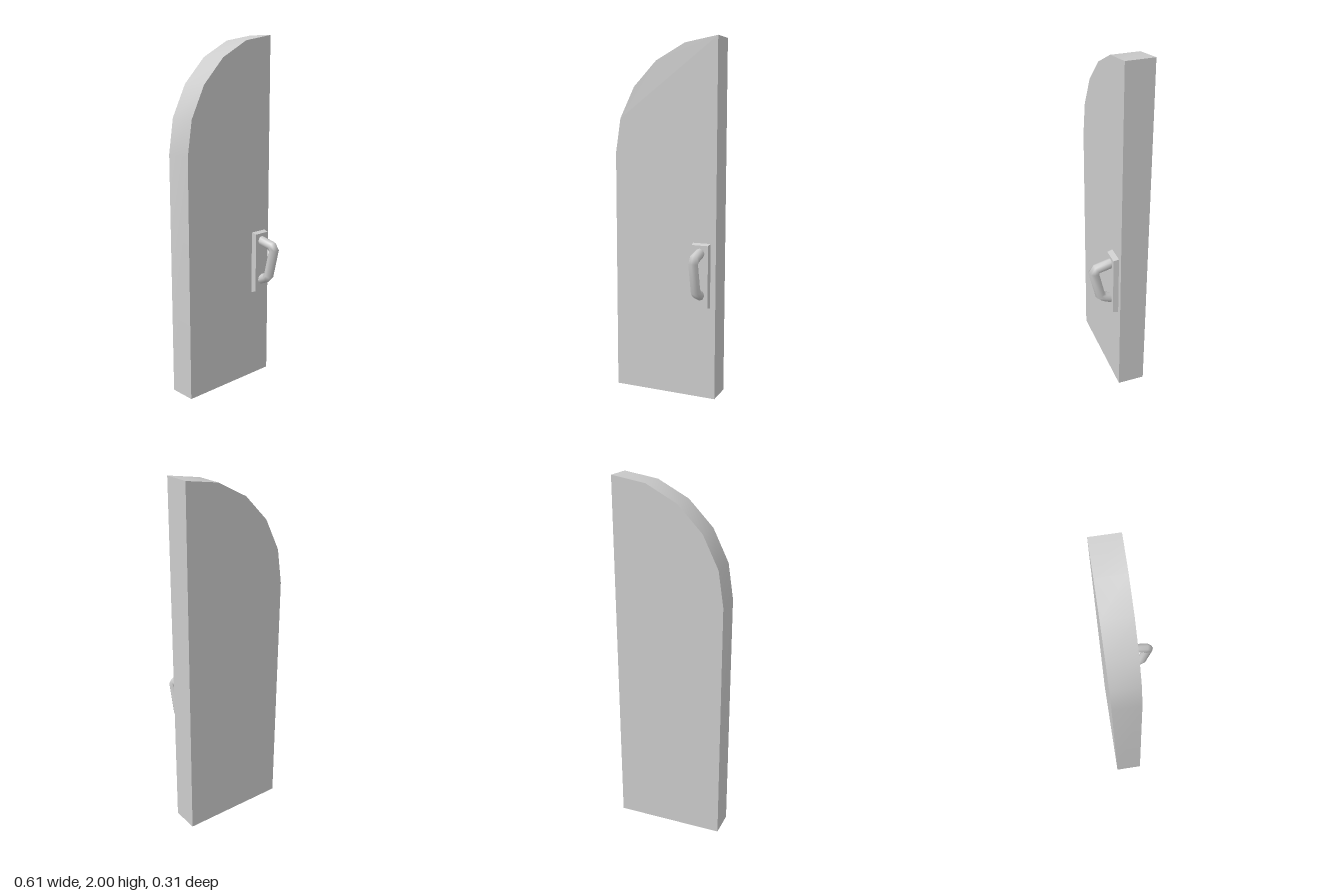
import * as THREE from 'three';
import { toCreasedNormals } from 'three/addons/utils/BufferGeometryUtils.js';

const material = new THREE.MeshStandardMaterial({ color: 0xcccccc });

function addMesh(group, name, geometry) {
  const mesh = new THREE.Mesh(geometry, material);
  mesh.name = name;
  group.add(mesh);
  return mesh;
}

// Slab with a quarter-ellipse top corner made of five straight steps
function doorGeometry(halfWidth, height, depth, springY, steps) {
  const shape = new THREE.Shape();
  shape.moveTo(-halfWidth, 0);
  shape.lineTo(halfWidth, 0);
  for (let i = steps; i >= 0; i--) {
    const a = (i / steps) * Math.PI / 2;
    shape.lineTo(halfWidth - 2 * halfWidth * Math.cos(a), springY + (height - springY) * Math.sin(a));
  }
  const geometry = new THREE.ExtrudeGeometry(shape, { depth, bevelEnabled: false });
  geometry.translate(0, 0, -depth);
  return toCreasedNormals(geometry, 0.6);
}

// Box whose front face is inset on all four sides
function plateGeometry(width, height, depth, inset) {
  const geometry = new THREE.BoxGeometry(width, height, depth);
  const p = geometry.attributes.position;
  for (let i = 0; i < p.count; i++) {
    if (p.getZ(i) > 0) {
      p.setX(i, p.getX(i) - Math.sign(p.getX(i)) * inset);
      p.setY(i, p.getY(i) - Math.sign(p.getY(i)) * inset * 2);
    }
  }
  geometry.computeVertexNormals();
  return geometry;
}

// Round bar swept through [z, y] points, with mitred rings at the bends
function gripGeometry(path, radius, sides) {
  const points = path.map(([z, y]) => new THREE.Vector2(z, y));
  const direction = i => points[i + 1].clone().sub(points[i]).normalize();
  const last = points.length - 1;
  const positions = [], indices = [];
  points.forEach((point, i) => {
    const before = direction(Math.max(i - 1, 0));
    const after = direction(Math.min(i, last - 1));
    const t = before.clone().add(after).normalize();
    const mitre = radius / t.dot(after);
    for (let j = 0; j < sides; j++) {
      const a = (j / sides) * Math.PI * 2;
      const n = Math.sin(a) * mitre;
      positions.push(Math.cos(a) * radius, point.y + t.x * n, point.x - t.y * n);
      if (i < last) {
        const k = i * sides, a0 = k + j, a1 = k + (j + 1) % sides;
        indices.push(a0, a1, a0 + sides, a1, a1 + sides, a0 + sides);
      }
    }
  });
  const geometry = new THREE.BufferGeometry();
  geometry.setAttribute('position', new THREE.Float32BufferAttribute(positions, 3));
  geometry.setIndex(indices);
  geometry.computeVertexNormals();
  return geometry;
}

export function createModel() {
  const group = new THREE.Group();
  group.name = 'door';

  addMesh(group, 'doorPanel', doorGeometry(0.305, 2, 0.155, 1.375, 5));

  const handle = new THREE.Group();
  handle.name = 'handle';
  handle.position.x = 0.222;
  group.add(handle);

  addMesh(handle, 'handlePlate', plateGeometry(0.104, 0.364, 0.03, 0.004)).position.set(0, 0.706, 0.015);

  const path = [[0.015, 0.839], [0.11, 0.818], [0.127, 0.793], [0.09, 0.638], [0.069, 0.618], [0.015, 0.595]];
  addMesh(handle, 'handleGrip', gripGeometry(path, 0.028, 8));

  return group;
}
